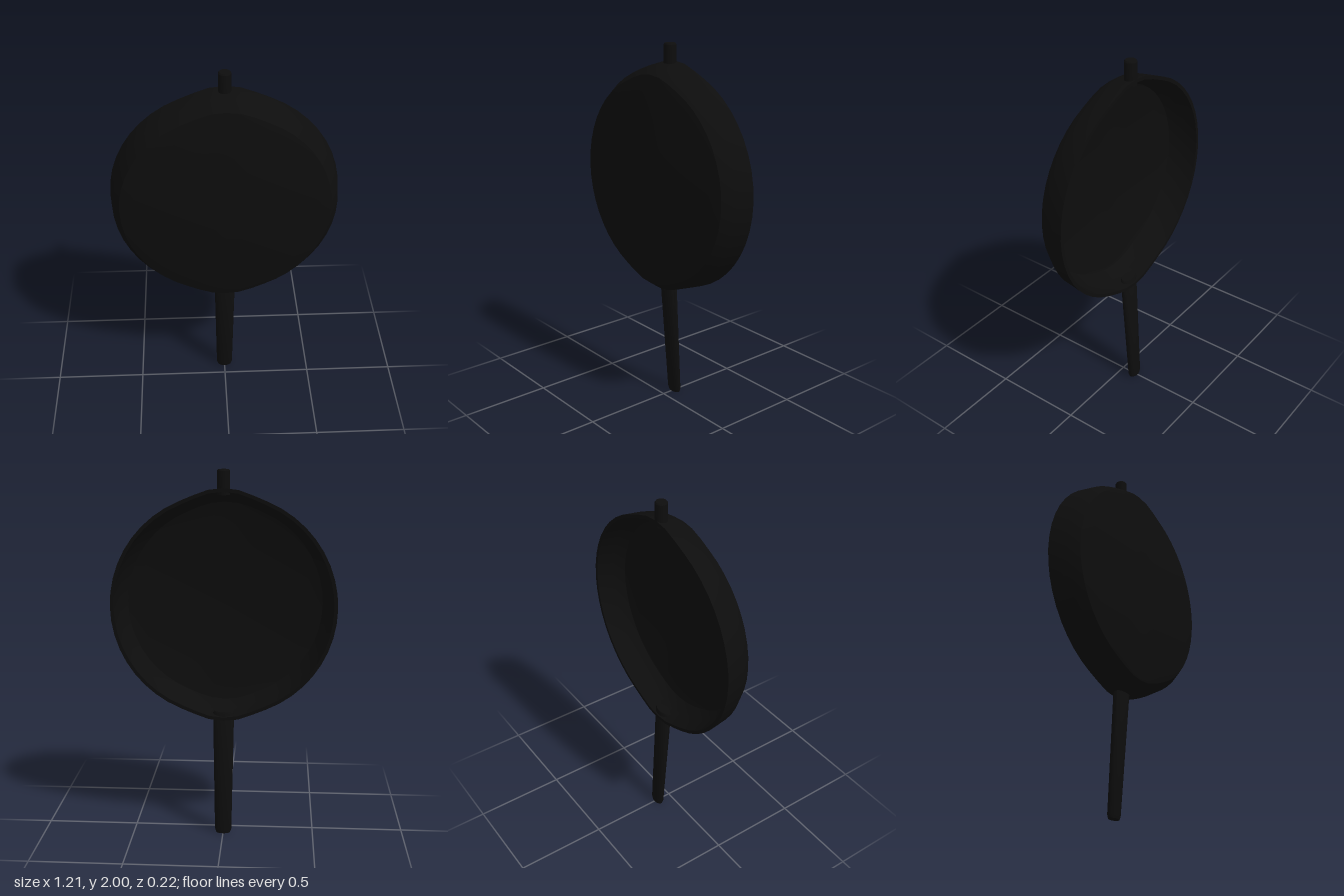
import * as THREE from 'three';
import { toCreasedNormals } from 'three/addons/utils/BufferGeometryUtils.js';

const profile = (pts) => pts.map(([r, h]) => new THREE.Vector2(r, h));

// Move every vertex of a geometry by a rule
function reshape(geometry, rule) {
  const pos = geometry.attributes.position;
  const v = new THREE.Vector3();
  for (let i = 0; i < pos.count; i++) {
    rule(v.fromBufferAttribute(pos, i));
    pos.setXYZ(i, v.x, v.y, v.z);
  }
  return geometry;
}

export function createModel() {
  const group = new THREE.Group();
  const castIron = new THREE.MeshStandardMaterial({ color: 0x0d0d0d });
  castIron.name = 'cast iron black';

  const add = (name, geometry, crease) => {
    const mesh = new THREE.Mesh(toCreasedNormals(geometry, crease), castIron);
    mesh.name = name;
    group.add(mesh);
    return mesh;
  };

  // Pan bowl: inner floor, inner wall, rim, outer wall, underside facing +z
  const bowl = new THREE.LatheGeometry(profile([
    [0, 0.088], [0.47, 0.088], [0.53, 0.072], [0.57, 0.02], [0.585, -0.076],
    [0.604, -0.076], [0.59, 0.03], [0.55, 0.09], [0.48, 0.108], [0, 0.108],
  ]), 48);
  bowl.rotateX(Math.PI / 2);
  // Wall swells slightly where the handle and the peg join it
  reshape(bowl, (v) => {
    const reach = THREE.MathUtils.smoothstep(Math.hypot(v.x, v.y), 0.45, 0.58);
    const near = 1 - THREE.MathUtils.smoothstep(Math.abs(v.x), 0.03, 0.22);
    v.y += Math.sign(v.y) * 0.022 * reach * near;
  });
  add('panBowl', bowl, 0.6).position.y = 1.28;

  // Oval handle, tapering and leaning back towards its end
  const handle = new THREE.LatheGeometry(profile([
    [0, 0], [0.85, 0], [1, 0.02], [1.25, 0.69], [1.1, 0.7], [0, 0.7],
  ]), 20);
  reshape(handle, (v) => {
    v.x *= 0.046;
    v.z = v.z * 0.0265 - 0.082 + 0.067 * v.y;
  });
  add('handle', handle, 0.6);

  // Small peg opposite the handle
  const peg = new THREE.LatheGeometry(profile([
    [0, 1.87], [0.033, 1.87], [0.033, 1.993], [0.028, 2], [0, 2],
  ]), 16);
  add('peg', peg, 0.6).position.z = -0.043;

  return group;
}
